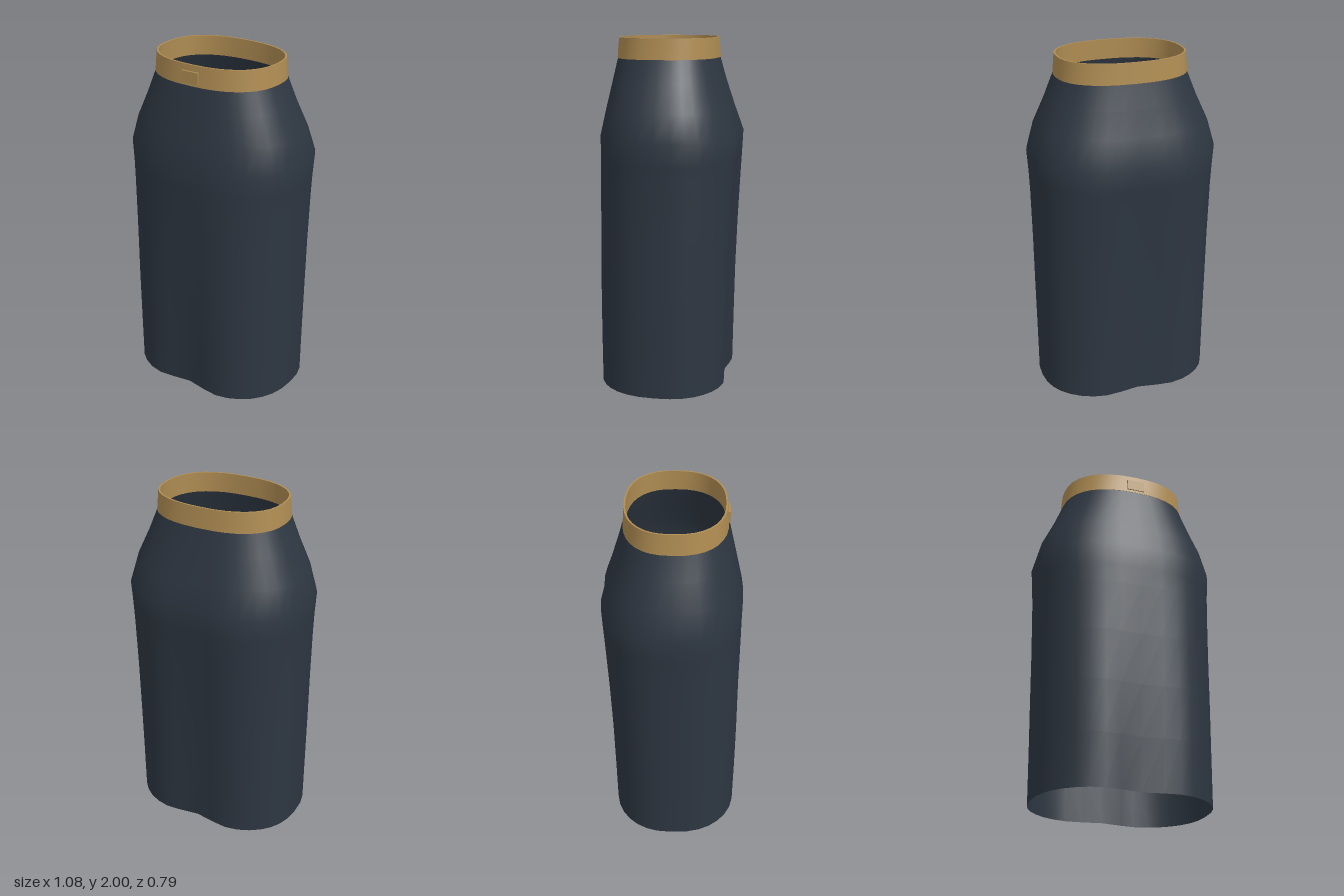
import * as THREE from 'three';

const SEGMENTS = 36;
const POWER = 2.4; // roundness of the oval cross-section

// Ring: [y, halfWidth, frontZ, backZ, frontDent, backDent]
function ringPoint([y, halfWidth, front, back, frontDent = 0, backDent = 0], i) {
  const t = (i / SEGMENTS) * Math.PI * 2;
  const c = Math.cos(t), s = Math.sin(t);
  const curve = (v) => Math.sign(v) * Math.pow(Math.abs(v), 2 / POWER);
  const x = halfWidth * curve(c);
  const dip = Math.exp(-((x / 0.16) ** 2));
  const centre = 0.01;
  const z = s >= 0
    ? centre + (front - centre) * curve(s) - frontDent * dip * Math.min(1, s * 2)
    : centre + (centre - back) * curve(s) + backDent * dip * Math.min(1, -s * 2);
  return [x, y, z];
}

// Joins a list of rings into a smooth open tube
function loft(rings) {
  const positions = [], index = [];
  rings.forEach((ring) => {
    for (let i = 0; i < SEGMENTS; i++) positions.push(...ringPoint(ring, i));
  });
  for (let r = 0; r < rings.length - 1; r++) {
    for (let i = 0; i < SEGMENTS; i++) {
      const next = (i + 1) % SEGMENTS;
      const a = r * SEGMENTS + i, b = r * SEGMENTS + next;
      const c = a + SEGMENTS, d = b + SEGMENTS;
      index.push(a, c, b, b, c, d);
    }
  }
  const geometry = new THREE.BufferGeometry();
  geometry.setAttribute('position', new THREE.Float32BufferAttribute(positions, 3));
  geometry.setIndex(index);
  geometry.computeVertexNormals();
  return geometry;
}

function addMesh(parent, name, geometry, material) {
  const mesh = new THREE.Mesh(geometry, material);
  mesh.name = name;
  parent.add(mesh);
  return mesh;
}

export function createModel() {
  const model = new THREE.Group();
  model.name = 'pencilSkirt';

  const navy = new THREE.MeshStandardMaterial({ color: 0x2d3641, side: THREE.DoubleSide });
  navy.name = 'navy cloth';
  const tan = new THREE.MeshStandardMaterial({ color: 0xb08d53, side: THREE.DoubleSide });
  tan.name = 'tan leather';

  // Skirt body, from hem to waist
  addMesh(model, 'skirtBody', loft([
    [0.0, 0.51, 0.415, -0.368, 0.06, 0.055],
    [0.3, 0.513, 0.417, -0.372, 0.052, 0.05],
    [0.6, 0.517, 0.416, -0.377, 0.04, 0.046],
    [0.9, 0.52, 0.411, -0.387, 0.026, 0.04],
    [1.2, 0.526, 0.404, -0.401, 0.01, 0.034],
    [1.32, 0.531, 0.4, -0.407, 0.003, 0.03],
    [1.45, 0.54, 0.4, -0.412, 0, 0.024],
    [1.6, 0.5, 0.367, -0.355, 0, 0.01],
    [1.75, 0.43, 0.334, -0.305, 0, 0.003],
    [1.89, 0.373, 0.303, -0.265],
    [1.91, 0.365, 0.296, -0.26],
  ]), navy);

  // Waistband with an outer face, top rim, inner face and lower rim
  const waistband = new THREE.Group();
  waistband.name = 'waistband';
  model.add(waistband);
  const outerLow = [1.885, 0.377, 0.306, -0.268];
  const outerHigh = [2.0, 0.367, 0.297, -0.26];
  const innerHigh = [2.0, 0.357, 0.287, -0.25];
  const innerLow = [1.885, 0.361, 0.29, -0.253];
  addMesh(waistband, 'bandOutside', loft([outerLow, outerHigh]), tan);
  addMesh(waistband, 'bandTopRim', loft([outerHigh, innerHigh]), tan);
  addMesh(waistband, 'bandInside', loft([innerHigh, innerLow]), tan);
  addMesh(waistband, 'bandLowerRim', loft([innerLow, outerLow]), tan);

  // Small clasp at the centre front
  const clasp = addMesh(waistband, 'clasp', new THREE.BoxGeometry(0.105, 0.065, 0.02), tan);
  clasp.position.set(0, 1.933, 0.301);

  return model;
}
